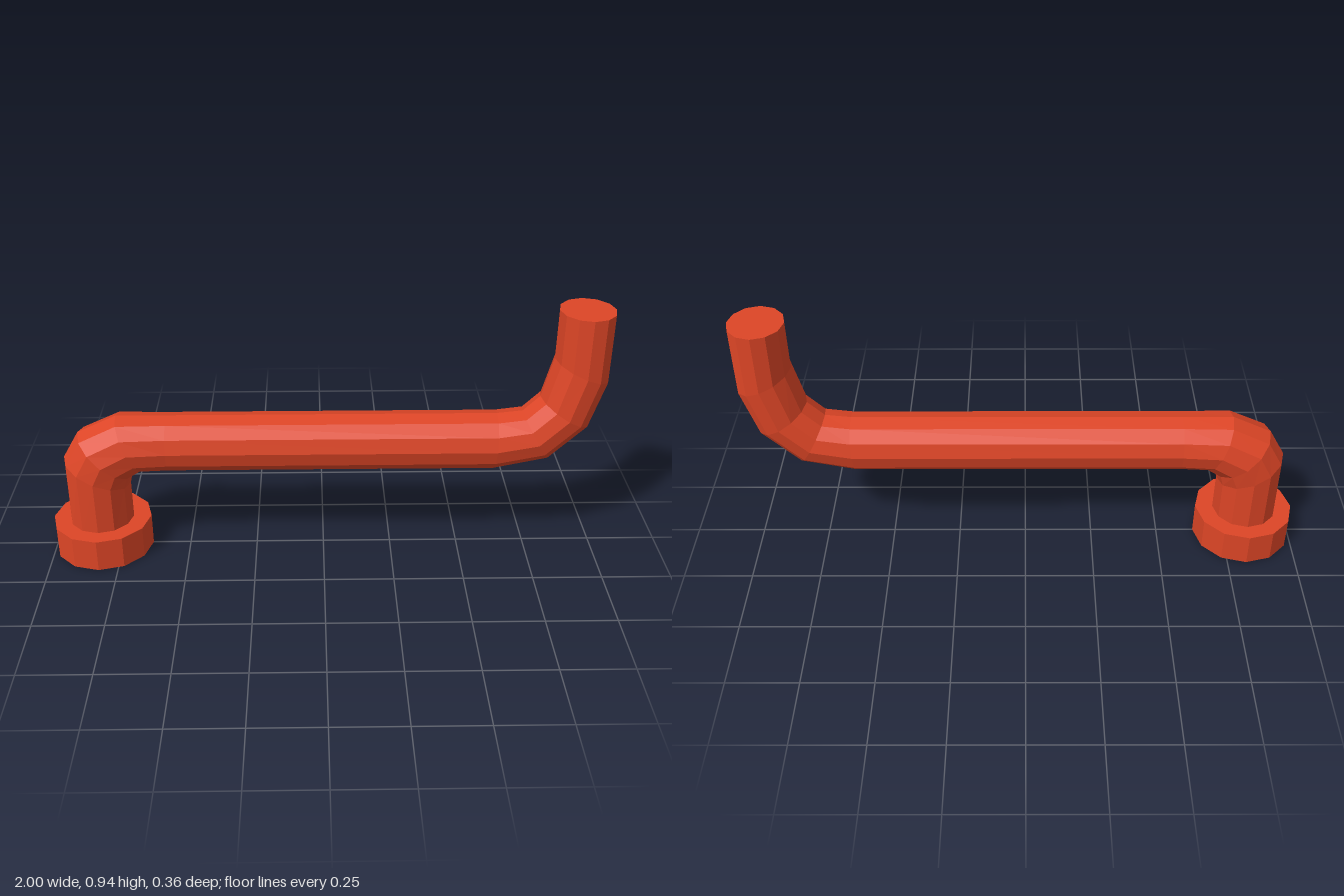
import * as THREE from 'three';

const SIDES = 12;

// Pipe skin swept through oval rings. Each ring: [x, y] on the upper/left side,
// [x, y] on the opposite side, and the half width in z.
function pipeGeometry(rings) {
  const pos = [], index = [];
  for (const [ax, ay, bx, by, rz] of rings) {
    for (let j = 0; j < SIDES; j++) {
      const a = (j / SIDES) * Math.PI * 2, c = Math.cos(a);
      pos.push((ax + bx) / 2 + c * (ax - bx) / 2, (ay + by) / 2 + c * (ay - by) / 2, Math.sin(a) * rz);
    }
  }
  for (let i = 0; i < rings.length - 1; i++) {
    for (let j = 0; j < SIDES; j++) {
      const k = (j + 1) % SIDES;
      const a = i * SIDES + j, b = i * SIDES + k, c = b + SIDES, d = a + SIDES;
      index.push(a, b, c, a, c, d);
    }
  }
  // end caps
  const last = (rings.length - 1) * SIDES;
  for (let j = 1; j < SIDES - 1; j++) {
    index.push(0, j + 1, j);
    index.push(last, last + j, last + j + 1);
  }
  const g = new THREE.BufferGeometry();
  g.setAttribute('position', new THREE.Float32BufferAttribute(pos, 3));
  g.setIndex(index);
  const flat = g.toNonIndexed();
  flat.computeVertexNormals();
  return flat;
}

export function createModel() {
  const group = new THREE.Group();
  group.name = 'bentPipe';
  const red = new THREE.MeshStandardMaterial({ color: 0xdc4526, flatShading: true });
  red.name = 'red';

  // wide foot collar
  const collar = new THREE.Mesh(new THREE.CylinderGeometry(0.18, 0.18, 0.12, SIDES), red);
  collar.name = 'baseCollar';
  collar.position.set(-0.82, 0.06, 0);
  group.add(collar);

  // post, lower bend, long run, upper bend, open riser
  const pipe = new THREE.Mesh(pipeGeometry([
    [-0.938, 0.1, -0.705, 0.1, 0.118],
    [-0.938, 0.375, -0.705, 0.265, 0.121],
    [-0.88, 0.475, -0.697, 0.302, 0.123],
    [-0.74, 0.54, -0.655, 0.328, 0.115],
    [-0.56, 0.54, -0.56, 0.33, 0.106],
    [0.62, 0.54, 0.61, 0.33, 0.106],
    [0.71, 0.55, 0.81, 0.373, 0.106],
    [0.768, 0.607, 0.945, 0.503, 0.106],
    [0.805, 0.755, 1, 0.677, 0.106],
    [0.805, 0.935, 1, 0.935, 0.106],
  ]), red);
  pipe.name = 'pipe';
  group.add(pipe);

  return group;
}
